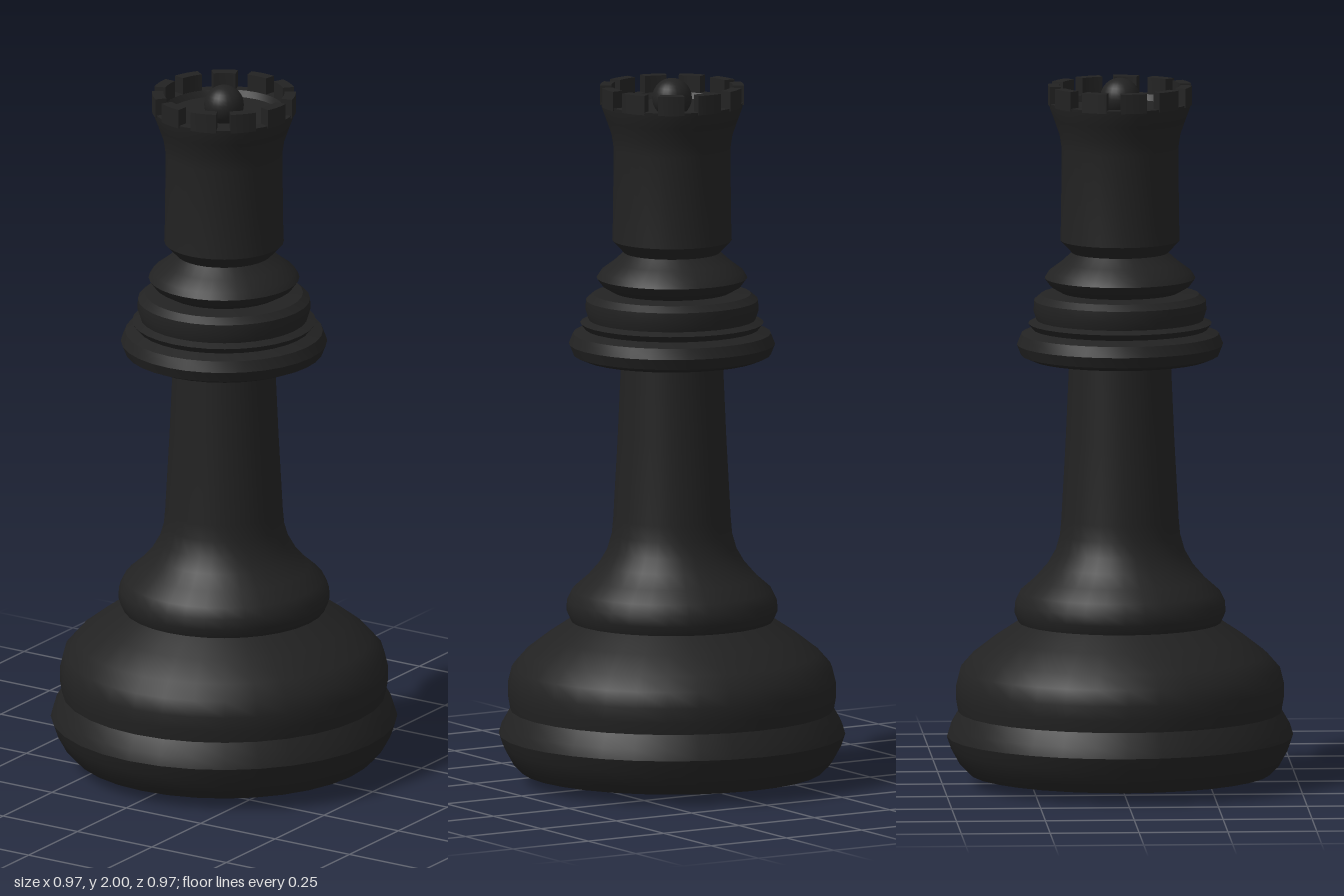
import * as THREE from 'three';
import { toCreasedNormals } from 'three/addons/utils/BufferGeometryUtils.js';

const SIDES = 32;
const material = new THREE.MeshStandardMaterial({ color: 0x222222 });

// Turned part: profile of [radius, height] pairs, listed from the underside up the outside
function turned(name, profile, crease = 0.6) {
  const points = profile.map(([r, y]) => new THREE.Vector2(r, y));
  const geometry = toCreasedNormals(new THREE.LatheGeometry(points, SIDES), crease);
  const mesh = new THREE.Mesh(geometry, material);
  mesh.name = name;
  return mesh;
}

// Curved block of the battlement, centred on angle a
function merlonGeometry(a, width, inner, outer, height) {
  const shape = new THREE.Shape();
  shape.absarc(0, 0, outer, a - width / 2, a + width / 2, false);
  shape.absarc(0, 0, inner, a + width / 2, a - width / 2, true);
  const geometry = new THREE.ExtrudeGeometry(shape, {
    depth: height, bevelEnabled: false, curveSegments: 4,
  });
  return toCreasedNormals(geometry.rotateX(-Math.PI / 2), 0.6);
}

export function createModel() {
  const model = new THREE.Group();
  model.name = 'chessPiece';

  // Wide foot with a shallow conical underside
  model.add(turned('base', [
    [0, 0], [0.425, 0.03], [0.45, 0.055], [0.475, 0.1], [0.487, 0.135], [0.478, 0.165],
    [0.455, 0.205], [0.461, 0.24], [0.461, 0.28], [0.45, 0.325], [0.415, 0.365],
    [0.35, 0.415], [0.285, 0.458],
  ]));

  // Swelling above the foot, running into the tapered stem
  model.add(turned('stem', [
    [0.285, 0.458], [0.297, 0.485], [0.295, 0.515], [0.28, 0.545], [0.24, 0.58],
    [0.205, 0.62], [0.182, 0.66], [0.169, 0.705], [0.165, 0.75], [0.153, 0.97], [0.142, 1.22],
  ]));

  // Stacked collar rings
  model.add(turned('collar', [
    [0.135, 1.21], [0.25, 1.203], [0.278, 1.215], [0.29, 1.245], [0.278, 1.275], [0.245, 1.288],
    [0.258, 1.305], [0.235, 1.315], [0.243, 1.34], [0.242, 1.37], [0.222, 1.387], [0.165, 1.393],
    [0.195, 1.41], [0.212, 1.433], [0.2, 1.452], [0.165, 1.478], [0.135, 1.505],
  ]));

  // Head with a flared rim and a dished top
  model.add(turned('head', [
    [0.135, 1.505], [0.168, 1.54], [0.166, 1.6], [0.164, 1.8], [0.17, 1.84], [0.186, 1.885],
    [0.197, 1.915], [0.2, 1.932], [0.17, 1.932], [0.16, 1.915], [0.08, 1.9], [0, 1.895],
  ]));

  // Battlement, with one gap facing the front
  const crown = new THREE.Group();
  crown.name = 'crown';
  const count = 11;
  const step = (Math.PI * 2) / count;
  for (let i = 0; i < count; i++) {
    const angle = -Math.PI / 2 + (i + 0.5) * step;
    const merlon = new THREE.Mesh(merlonGeometry(angle, step * 0.65, 0.17, 0.202, 0.055), material);
    merlon.name = 'merlon';
    merlon.position.y = 1.925;
    crown.add(merlon);
  }
  model.add(crown);

  // Ball in the middle of the crown
  const ball = new THREE.Mesh(new THREE.SphereGeometry(0.056, 24, 16), material);
  ball.name = 'finial';
  ball.position.y = 1.944;
  model.add(ball);

  return model;
}
